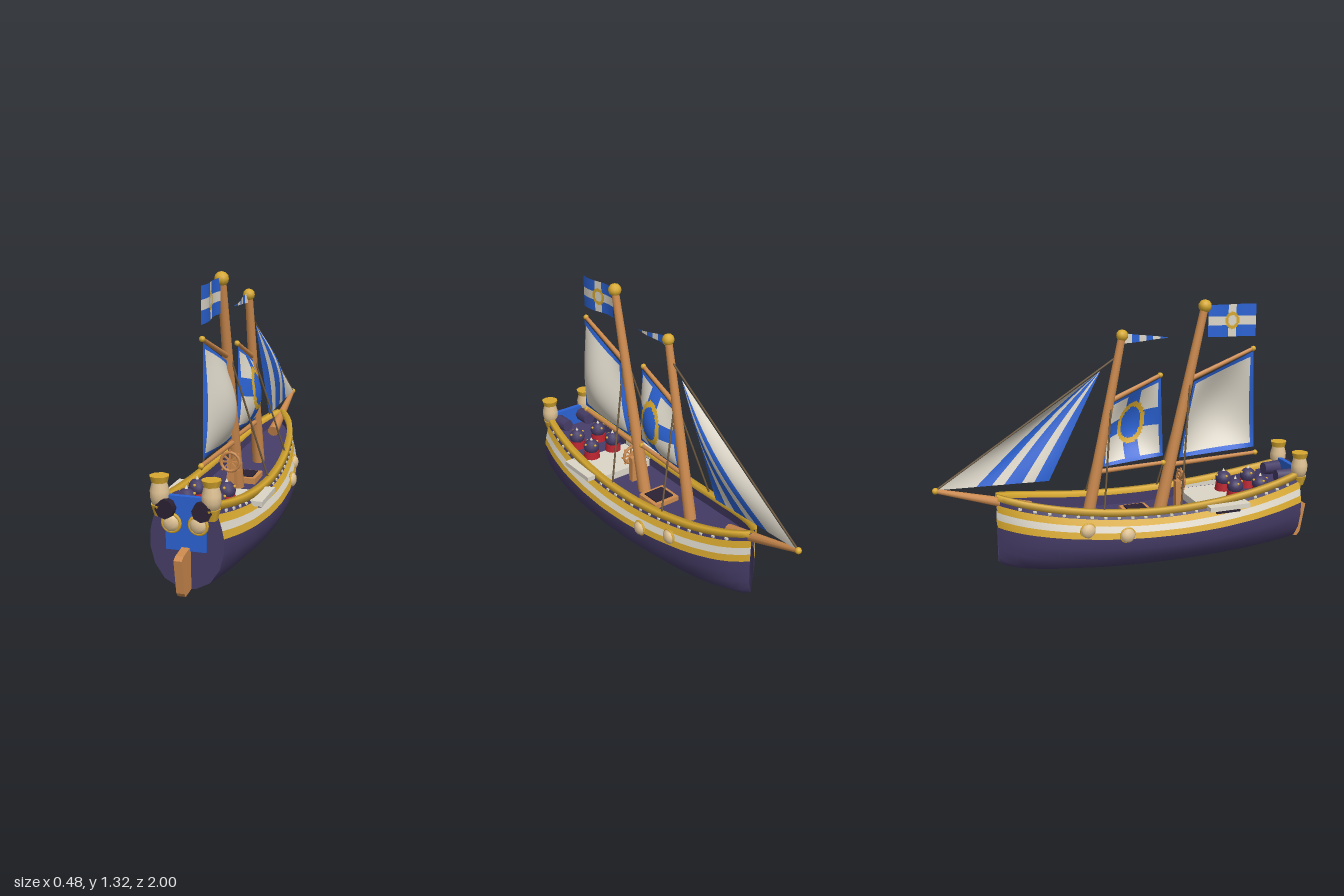
import * as THREE from 'three';

const M = {};
for (const [name, color] of Object.entries({
  navy: 0x453c66, blue: 0x2b62d2, gold: 0xd8a930, cream: 0xdcd6c8, tan: 0xdfc294,
  wood: 0xcc8a4e, red: 0xb8232f, dark: 0x2b2133, rope: 0x6e5a40,
})) {
  M[name] = new THREE.MeshStandardMaterial({ color, side: THREE.DoubleSide });
  M[name].name = name;
}
const V = (x, y, z) => new THREE.Vector3(x, y, z);

// hull lines: [z, half width, keel height]
const LINES = [[-0.695, 0.012, 0.09], [-0.67, 0.042, 0.07], [-0.6, 0.098, 0.048], [-0.5, 0.14, 0.032], [-0.4, 0.17, 0.02],
  [-0.2, 0.208, 0.008], [0, 0.23, 0.002], [0.2, 0.24, 0], [0.4, 0.237, 0], [0.6, 0.222, 0.003], [0.75, 0.198, 0.008], [0.885, 0.165, 0.015]];
// section: [width fraction, height fraction]
const LOWER = [[0, 0], [0.25, 0.015], [0.62, 0.1], [0.88, 0.27], [1, 0.47], [1, 0.64]];
const UPPER = [[1, 0.64], [0.96, 0.73], [0.9, 0.82], [0.83, 0.91], [0.75, 1]];
const sheer = z => 0.315 + 0.157 * (z - 0.15) ** 2;
const line = z => {
  let i = 0;
  while (i < LINES.length - 2 && LINES[i + 1][0] < z) i++;
  const [a, b] = [LINES[i], LINES[i + 1]], t = (z - a[0]) / (b[0] - a[0]);
  return { z, w: a[1] + (b[1] - a[1]) * t, k: a[2] + (b[2] - a[2]) * t, s: sheer(z) };
};
const hullPoint = (l, [fx, fy]) => V(l.w * fx, fy >= 0.64 ? l.s * fy : l.k + (0.64 * l.s - l.k) * fy / 0.64, l.z);

// surface through rows of points
function loft(rows) {
  const n = rows[0].length, idx = [];
  for (let i = 0; i < rows.length - 1; i++) for (let j = 0; j < n - 1; j++) {
    const a = i * n + j;
    idx.push(a, a + 1, a + n, a + 1, a + n + 1, a + n);
  }
  const g = new THREE.BufferGeometry().setFromPoints(rows.flat());
  g.setIndex(idx);
  g.computeVertexNormals();
  return g;
}

// cloth from four corners [z, y] (low aft, low fore, high aft, high fore), coloured by pattern(u, v)
function cloth(c, bulge, mats, pattern, n = 44) {
  const rows = [];
  const mix = (i, u, v) => (c[0][i] * (1 - u) + c[1][i] * u) * (1 - v) + (c[2][i] * (1 - u) + c[3][i] * u) * v;
  for (let i = 0; i <= n; i++) {
    const v = i / n;
    rows.push(Array.from({ length: n + 1 }, (_, j) => V(bulge(j / n, v), mix(1, j / n, v), mix(0, j / n, v))));
  }
  const g = loft(rows), src = g.index.array, lists = mats.map(() => []);
  for (let i = 0; i < n; i++) for (let j = 0; j < n; j++) {
    const k = (i * n + j) * 6;
    lists[pattern((j + 0.5) / n, (i + 0.5) / n)].push(...src.slice(k, k + 6));
  }
  g.setIndex(lists.flat());
  let start = 0;
  lists.forEach((l, i) => { g.addGroup(start, l.length, i); start += l.length; });
  return g;
}

export function createModel() {
  const root = new THREE.Group();
  root.name = 'sailingShip';
  const add = (name, geo, mat, x = 0, y = 0, z = 0) => {
    const m = new THREE.Mesh(geo, mat);
    m.name = name;
    m.position.set(x, y, z);
    root.add(m);
    return m;
  };
  const box = (name, mat, w, h, d, x, y, z) => add(name, new THREE.BoxGeometry(w, h, d), mat, x, y, z);
  const ball = (name, mat, r, x, y, z) => add(name, new THREE.IcosahedronGeometry(r, 1), mat, x, y, z);
  const rod = (name, mat, a, b, r0, r1 = r0, sides = 10) => {
    const d = b.clone().sub(a), m = add(name, new THREE.CylinderGeometry(r1, r0, d.length(), sides), mat);
    m.position.copy(a).addScaledVector(d, 0.5);
    m.quaternion.setFromUnitVectors(V(0, 1, 0), d.normalize());
    return m;
  };

  // hull bands, bulwarks and rails
  const zs = Array.from({ length: 33 }, (_, i) => -0.67 + 1.555 * i / 32);
  const stations = [-0.695, ...zs].map(line);
  for (const s of [1, -1]) {
    const skin = (name, mat, f) => add(name, loft(stations.map(l => f(l).map(p => V(p.x * s, p.y, p.z)))), mat);
    skin('lowerHull', M.navy, l => LOWER.map(p => hullPoint(l, p)));
    [M.gold, M.cream, M.gold, M.navy].forEach((mat, i) =>
      skin('hullStripe', mat, l => [UPPER[i], UPPER[i + 1]].map(p => hullPoint(l, p))));
    skin('bulwark', M.navy, l => [V(l.w * 0.73, l.s, l.z), V(l.w * 0.73, l.s - 0.07, l.z)]);
    skin('rail', M.gold, l => {
      const x = l.w * 0.75, a = Math.max(0, x - 0.017), b = x + 0.012;
      return [[a, -0.012], [a, 0.015], [b, 0.015], [b + 0.003, -0.015], [a, -0.012]].map(([px, dy]) => V(px, l.s + dy, l.z));
    });
    // studs below the rail
    for (let i = 0; i < 22; i++) {
      const l = line(-0.6 + i * 0.067), p = hullPoint(l, [0.81, 0.935]);
      box('stud', M.cream, 0.012, 0.01, 0.016, s * p.x, p.y, p.z);
    }
    // side shields
    for (const [z, y, x] of [[-0.1, 0.225, 0.213], [-0.29, 0.26, 0.176]]) {
      ball('shield', M.tan, 0.038, s * x, y, z).scale.x = 0.7;
      add('shieldRim', new THREE.TorusGeometry(0.036, 0.006, 6, 16), M.gold, s * x, y, z).rotation.y = Math.PI / 2;
    }
    // side ledges
    box('sideLedge', M.cream, 0.075, 0.024, 0.22, s * 0.2, 0.307, 0.44);
    box('ledgeBracket', M.dark, 0.03, 0.02, 0.13, s * 0.205, 0.285, 0.44);
    // shrouds
    rod('mainShroud', M.rope, V(s * 0.17, 0.32, 0.2), V(0, 0.98, 0.315), 0.005, 0.005, 5);
    rod('foreShroud', M.rope, V(s * 0.155, 0.33, -0.2), V(0, 0.88, -0.105), 0.005, 0.005, 5);
    // stern lanterns
    const prof = [[0, 0], [0.03, 0], [0.042, 0.04], [0.042, 0.07], [0.034, 0.1], [0.034, 0.115]].map(p => new THREE.Vector2(...p));
    add('lanternBody', new THREE.LatheGeometry(prof, 14), M.tan, s * 0.115, 0.38, 0.893);
    add('lanternCap', new THREE.CylinderGeometry(0.044, 0.036, 0.028, 8), M.gold, s * 0.115, 0.501, 0.893);
    add('lanternBase', new THREE.CylinderGeometry(0.04, 0.025, 0.05, 8), M.gold, s * 0.115, 0.365, 0.893);
    // stern guns and round ports
    rod('sternGun', M.navy, V(s * 0.07, 0.385, 0.78), V(s * 0.08, 0.38, 0.92), 0.033, 0.04, 8);
    rod('gunMuzzle', M.dark, V(s * 0.08, 0.38, 0.9), V(s * 0.083, 0.38, 0.932), 0.044, 0.044, 8);
    ball('sternPort', M.tan, 0.04, s * 0.06, 0.315, 0.905).scale.z = 0.6;
    add('sternPortRim', new THREE.TorusGeometry(0.039, 0.008, 6, 16), M.gold, s * 0.06, 0.315, 0.907);
  }

  // transom, deck, stern panel and rudder
  const stern = line(0.885), right = [...LOWER, ...UPPER.slice(1)].map(p => hullPoint(stern, p));
  const outline = [...right, ...right.slice(1).reverse().map(p => V(-p.x, p.y, p.z))].map(p => new THREE.Vector2(p.x, p.y));
  add('transom', new THREE.ShapeGeometry(new THREE.Shape(outline)), M.navy, 0, 0, 0.885);
  add('deck', loft(stations.map(l => [V(-l.w * 0.74, l.s - 0.07, l.z), V(l.w * 0.74, l.s - 0.07, l.z)])), M.navy);
  box('sternPanel', M.blue, 0.18, 0.24, 0.024, 0, 0.312, 0.885);
  const rud = new THREE.Shape([[0.86, 0.02], [0.955, 0.01], [0.972, 0.03], [1, 0.185], [0.975, 0.198], [0.9, 0.208], [0.86, 0.2]]
    .map(p => new THREE.Vector2(-p[0], p[1])));
  add('rudder', new THREE.ExtrudeGeometry(rud, { depth: 0.036, bevelEnabled: false }).rotateY(Math.PI / 2), M.wood, -0.018);

  // deck fittings
  box('creamDeck', M.cream, 0.32, 0.04, 0.23, 0, 0.275, 0.44);
  box('hatchFrame', M.wood, 0.15, 0.03, 0.14, 0, 0.26, 0.025);
  box('hatchCover', M.dark, 0.11, 0.008, 0.1, 0, 0.277, 0.025);
  for (const x of [-0.07, 0.07]) for (const z of [0.545, 0.69]) {
    ball('bomb', M.navy, 0.043, x, 0.357, z);
    add('bombBase', new THREE.CylinderGeometry(0.04, 0.046, 0.04, 10), M.red, x, 0.315, z);
    add('bombTip', new THREE.ConeGeometry(0.01, 0.02, 6), M.cream, x, 0.404, z);
    for (let a = 0; a < 4; a++)
      ball('bombKnob', M.gold, 0.007, x + 0.037 * Math.cos(a * Math.PI / 2), 0.378, z + 0.037 * Math.sin(a * Math.PI / 2));
  }
  box('wheelPost', M.wood, 0.035, 0.14, 0.03, 0, 0.33, 0.25);
  add('wheelRim', new THREE.TorusGeometry(0.046, 0.008, 6, 18), M.wood, 0, 0.405, 0.268);
  for (let i = 0; i < 4; i++) box('wheelSpoke', M.wood, 0.12, 0.008, 0.008, 0, 0.405, 0.268).rotation.z = i * Math.PI / 4;

  // masts, yards and bowsprit
  rod('mainMast', M.wood, V(0, 0.23, 0.147), V(0, 1.28, 0.383), 0.034, 0.02);
  ball('mainMastBall', M.gold, 0.034, 0, 1.29, 0.386);
  rod('foreMast', M.wood, V(0, 0.25, -0.238), V(0, 1.16, -0.052), 0.032, 0.019);
  ball('foreMastBall', M.gold, 0.03, 0, 1.17, -0.05);
  rod('bowsprit', M.wood, V(0, 0.355, -0.53), V(0, 0.488, -0.975), 0.03, 0.012);
  ball('bowspritBall', M.gold, 0.016, 0, 0.49, -0.983);
  for (const [n, a, b] of [['mainGaff', [1.06, 0.66], [0.93, 0.32]], ['mainBoom', [0.505, 0.69], [0.49, 0.2]],
    ['foreGaff', [0.96, 0.15], [0.855, -0.1]], ['foreBoom', [0.505, 0.17], [0.495, -0.18]]]) {
    rod(n, M.wood, V(0, ...a), V(0, ...b), 0.01, 0.013, 8);
    ball(n + 'Knob', M.gold, 0.014, 0, ...a);
  }
  rod('forestay', M.rope, V(0, 1.07, -0.075), V(0, 0.492, -0.983), 0.005, 0.005, 5);

  // sails and flags
  const belly = k => (u, v) => 0.006 + k * Math.sin(Math.PI * u) ** 0.8 * Math.sin(Math.PI * Math.min(1, v ** 0.85));
  const edge = (u, v, e) => u < e || u > 1 - e || v < e || v > 1 - e;
  add('mainSail', cloth([[0.685, 0.535], [0.26, 0.52], [0.665, 1.045], [0.335, 0.91]], belly(0.082), [M.cream, M.blue],
    (u, v) => edge(u, v, 0.045) ? 1 : 0), [M.cream, M.blue]);
  add('foreSail', cloth([[0.17, 0.54], [-0.155, 0.515], [0.155, 0.945], [-0.115, 0.83]], belly(0.072), [M.cream, M.blue, M.gold],
    (u, v) => {
      const r = Math.hypot((u - 0.49) / 0.24, (v - 0.52) / 0.3);
      if (r < 1) return r < 0.75 ? 1 : 2;
      return edge(u, v, 0.05) || Math.abs(u - 0.49) < 0.13 || Math.abs(v - 0.52) < 0.12 ? 1 : 0;
    }), [M.cream, M.blue, M.gold]);
  add('jib', cloth([[-0.43, 0.475], [-0.975, 0.492], [-0.16, 1.005], [-0.162, 1.003]],
    (u, v) => 0.004 + 0.05 * Math.sin(Math.PI * u) * Math.sin(Math.PI * v), [M.cream, M.blue],
    u => u < 0.13 || (u > 0.25 && u < 0.4) || (u > 0.53 && u < 0.66) ? 1 : 0), [M.cream, M.blue]);
  add('mainFlag', cloth([[0.67, 1.122], [0.405, 1.135], [0.67, 1.288], [0.405, 1.295]],
    u => 0.008 * Math.sin(u * 6.28), [M.cream, M.blue, M.gold],
    (u, v) => {
      const r = Math.hypot((u - 0.5) * 0.265, (v - 0.5) * 0.16);
      if (r < 0.042 && r > 0.026) return 2;
      return r < 0.03 || Math.abs(u - 0.5) < 0.085 || Math.abs(v - 0.5) < 0.14 ? 0 : 1;
    }), [M.cream, M.blue, M.gold]);
  add('pennant', cloth([[0.19, 1.143], [-0.04, 1.13], [0.19, 1.146], [-0.04, 1.18]],
    u => 0.006 * Math.sin(u * 6.28), [M.cream, M.blue], u => Math.floor(u * 6) % 2 ? 0 : 1, 24), [M.cream, M.blue]);

  return root;
}
